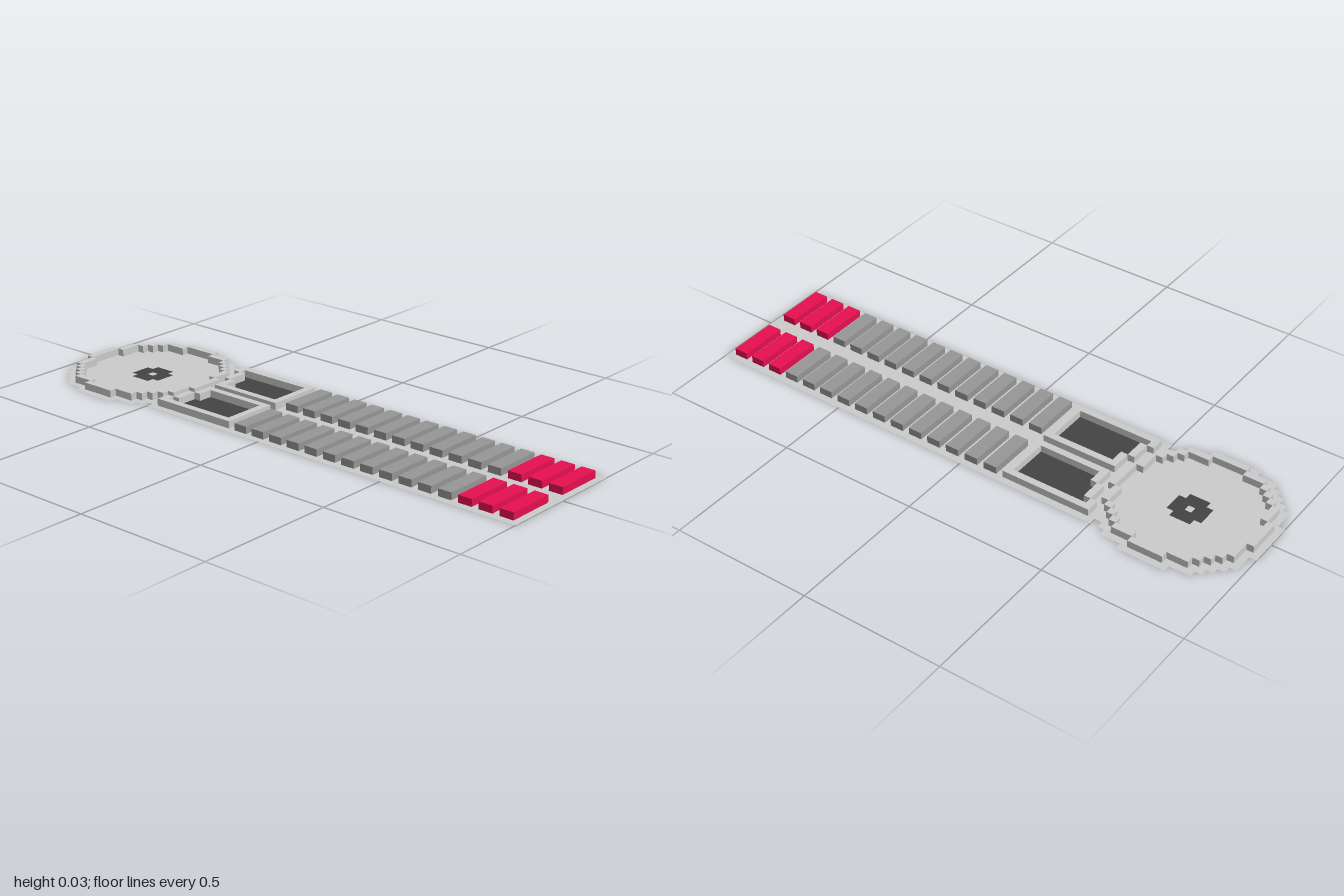
import * as THREE from 'three';

const U = 0.025;          // pixel size; also the emboss height
const COLS = 80, HALF = 11; // columns along x, rows -11..11 along z
const HUB = 11;           // column of the disc centre

const COLORS = {
  plate: 0xcccccc, disc: 0xcccccc, discRim: 0xcccccc, panelFrames: 0xcccccc,
  hub: 0x444444, panels: 0x444444, greyBars: 0x969696, redBars: 0xe61050,
};
const RAISED = new Set(['discRim', 'panelFrames', 'greyBars', 'redBars']);

// Half-widths of the stepped disc, rim and floor for rows 0..11 from the centre
const LIP = [11, 11, 11, 11, 10, 10, 10, 9, 8, 7, 6, 3];
const RIM = [10, 10, 10, 9, 9, 9, 8, 7, 6, 5, 2, -1];
const FLOOR = [9, 9, 9, 8, 8, 8, 7, 6, 5, 2, -1, -1];

// Which part covers pixel (i, k); null where empty
function partAt(i, k) {
  const r = Math.abs(k), d = Math.abs(i - HUB);
  if (i < 0 || i >= COLS || r > HALF) return null;
  // Disc: flat lip, raised rim, floor and dark hub with a light centre
  if (d <= LIP[r]) {
    if (d <= RIM[r] && d > FLOOR[r]) return 'discRim';
    if (d <= 2 && r <= 2 && d + r > 0 && d + r < 4) return 'hub';
    return 'disc';
  }
  if (i < 20 || r > 9) return null;
  if (r < 1 || r > 8) return 'plate';
  // Framed panels whose inner end follows the disc
  const start = HUB + LIP[Math.min(r, 7)] + 1;
  if (i >= start && i <= 33) {
    return i === start || i === 33 || r === 1 || r === 8 ? 'panelFrames' : 'panels';
  }
  // Rows of bars: two pixels wide, one apart, the last three red
  if (i >= 35 && i <= 78 && r >= 2 && (i - 35) % 3 < 2) return i >= 71 ? 'redBars' : 'greyBars';
  return 'plate';
}

const heightAt = (i, k) => (RAISED.has(partAt(i, k)) ? U : 0);

// Corners run counter-clockwise as seen from the outside
function quad(list, a, b, c, d) {
  list.push(...a, ...b, ...c, ...a, ...c, ...d);
}

export function createModel() {
  const group = new THREE.Group();
  group.name = 'embossedPlate';
  const faces = {};
  for (const name in COLORS) faces[name] = [];

  for (let i = 0; i < COLS; i++) {
    for (let k = -HALF; k <= HALF; k++) {
      const part = partAt(i, k);
      if (!part) continue;
      const list = faces[part], h = heightAt(i, k);
      const x0 = -1 + i * U, x1 = x0 + U, z0 = (k - 0.5) * U, z1 = z0 + U;
      // Top of the pixel
      quad(list, [x0, h, z0], [x0, h, z1], [x1, h, z1], [x1, h, z0]);
      // Walls down to lower neighbours
      const walls = [
        [1, 0, x1, z1, x1, z0], [-1, 0, x0, z0, x0, z1],
        [0, 1, x0, z1, x1, z1], [0, -1, x1, z0, x0, z0],
      ];
      for (const [di, dk, ax, az, bx, bz] of walls) {
        if (h > heightAt(i + di, k + dk)) {
          quad(list, [ax, 0, az], [bx, 0, bz], [bx, h, bz], [ax, h, az]);
        }
      }
    }
  }

  for (const name in faces) {
    const geo = new THREE.BufferGeometry();
    geo.setAttribute('position', new THREE.Float32BufferAttribute(faces[name], 3));
    geo.computeVertexNormals();
    const mesh = new THREE.Mesh(geo, new THREE.MeshStandardMaterial({
      color: COLORS[name], side: THREE.DoubleSide, flatShading: true,
    }));
    mesh.name = name;
    group.add(mesh);
  }
  return group;
}
